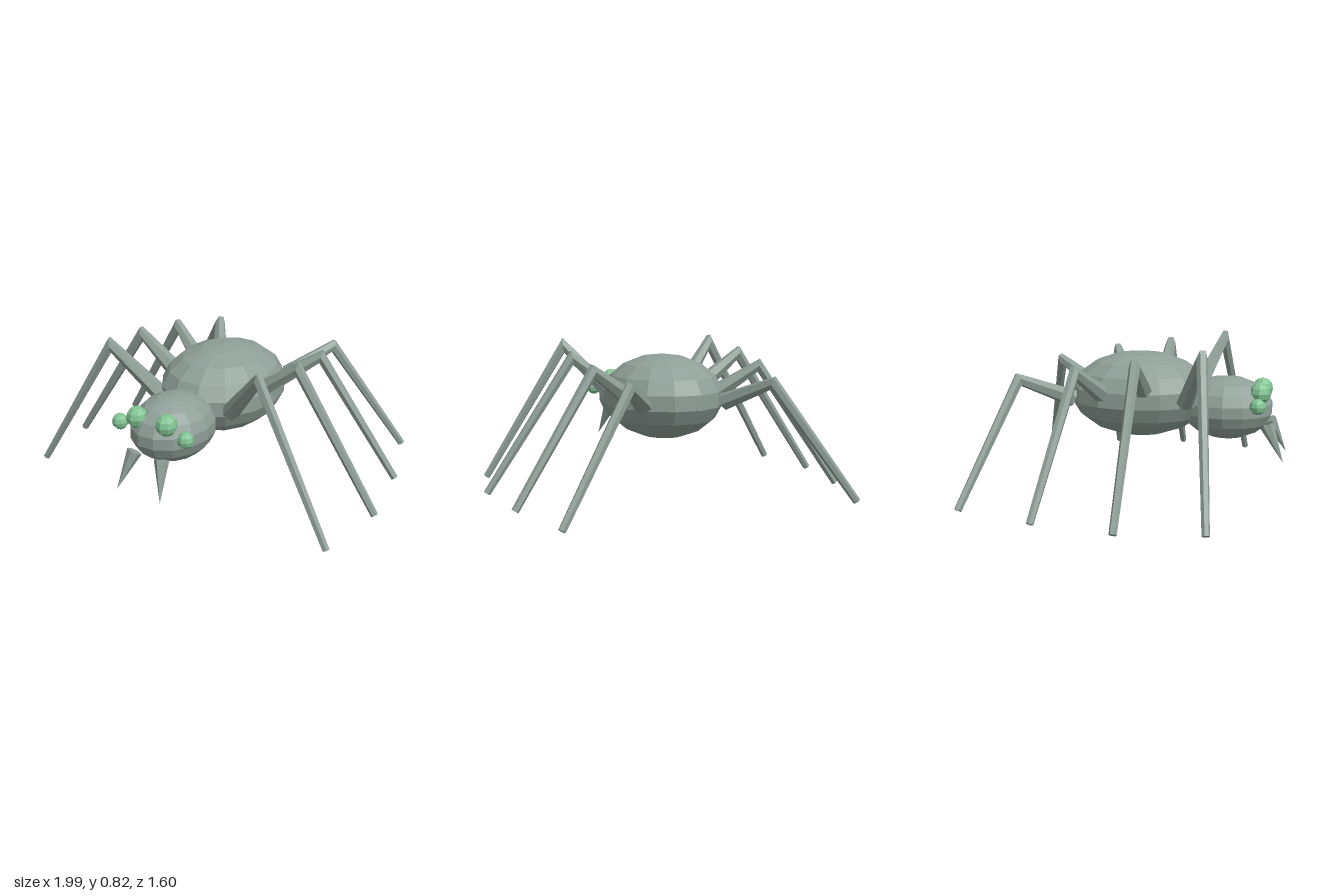
import * as THREE from 'three';

const bodyGrey = new THREE.MeshStandardMaterial({ color: 0x8f9f98 });
bodyGrey.name = 'bodyGrey';
const eyeGreen = new THREE.MeshStandardMaterial({ color: 0x82c493 });
eyeGreen.name = 'eyeGreen';

// Faceted mesh: every face gets its own normal
function facet(name, geometry, material) {
  const flat = geometry.toNonIndexed();
  flat.computeVertexNormals();
  const mesh = new THREE.Mesh(flat, material);
  mesh.name = name;
  return mesh;
}

function ellipsoid(name, center, radii, columns, rows, material) {
  const g = new THREE.SphereGeometry(1, columns, rows);
  g.scale(...radii);
  g.translate(...center);
  return facet(name, g, material);
}

// Tapered six-sided leg with a mitred knee
function legGeometry(points, radii) {
  const p = points.map((a) => new THREE.Vector3(...a));
  const upper = p[1].clone().sub(p[0]).normalize();
  const lower = p[2].clone().sub(p[1]).normalize();
  const tangents = [upper, upper.clone().add(lower).normalize(), lower];
  const side = upper.clone().cross(lower).normalize();
  const miter = 1 / upper.dot(tangents[1]);

  const g = new THREE.CylinderGeometry(1, 1, 2, 6, 2, false, Math.PI / 6);
  const pos = g.attributes.position;
  for (let i = 0; i < pos.count; i++) {
    const row = Math.round(pos.getY(i)) + 1;
    const out = side.clone().cross(tangents[row]);
    const v = p[row].clone()
      .addScaledVector(side, pos.getX(i) * radii[row])
      .addScaledVector(out, pos.getZ(i) * radii[row] * (row === 1 ? miter : 1));
    pos.setXYZ(i, v.x, v.y, v.z);
  }
  return g;
}

// Fang: a cone from its base centre to its tip
function fangGeometry(base, tip, radius) {
  const a = new THREE.Vector3(...base);
  const axis = new THREE.Vector3(...tip).sub(a);
  const length = axis.length();
  const g = new THREE.ConeGeometry(radius, length, 6);
  g.translate(0, length / 2, 0);
  g.applyQuaternion(new THREE.Quaternion().setFromUnitVectors(
    new THREE.Vector3(0, 1, 0), axis.normalize()));
  g.translate(a.x, a.y, a.z);
  return g;
}

// Root, knee and foot of each left leg, front to back
const LEGS = [
  [[0.225, 0.5, 0.28], [0.46, 0.775, 0.4], [0.91, 0.012, 0.495]],
  [[0.3, 0.575, 0.067], [0.5, 0.73, 0.067], [0.98, 0.012, 0.07]],
  [[0.27, 0.54, -0.165], [0.475, 0.685, -0.255], [0.915, 0.012, -0.358]],
  [[0.23, 0.505, -0.335], [0.39, 0.625, -0.588], [0.785, 0.012, -0.785]],
];

export function createModel() {
  const model = new THREE.Group();
  model.name = 'spider';

  model.add(ellipsoid('abdomen', [0, 0.51, -0.01], [0.33, 0.235, 0.395], 14, 9, bodyGrey));
  model.add(ellipsoid('head', [0, 0.448, 0.475], [0.213, 0.173, 0.255], 14, 9, bodyGrey));

  for (const s of [1, -1]) {
    const sideName = s > 0 ? 'left' : 'right';
    const mirror = (a) => [a[0] * s, a[1], a[2]];

    LEGS.forEach((points, i) => {
      model.add(facet(`${sideName}Leg${i + 1}`,
        legGeometry(points.map(mirror), [0.048, 0.029, 0.02]), bodyGrey));
    });

    model.add(facet(`${sideName}Fang`,
      fangGeometry(mirror([0.085, 0.37, 0.703]), mirror([0.135, 0.18, 0.797]), 0.04), bodyGrey));

    model.add(ellipsoid(`${sideName}InnerEye`, mirror([0.09, 0.545, 0.662]),
      [0.057, 0.057, 0.057], 8, 6, eyeGreen));
    model.add(ellipsoid(`${sideName}OuterEye`, mirror([0.203, 0.492, 0.66]),
      [0.043, 0.043, 0.043], 8, 6, eyeGreen));
  }
  return model;
}
